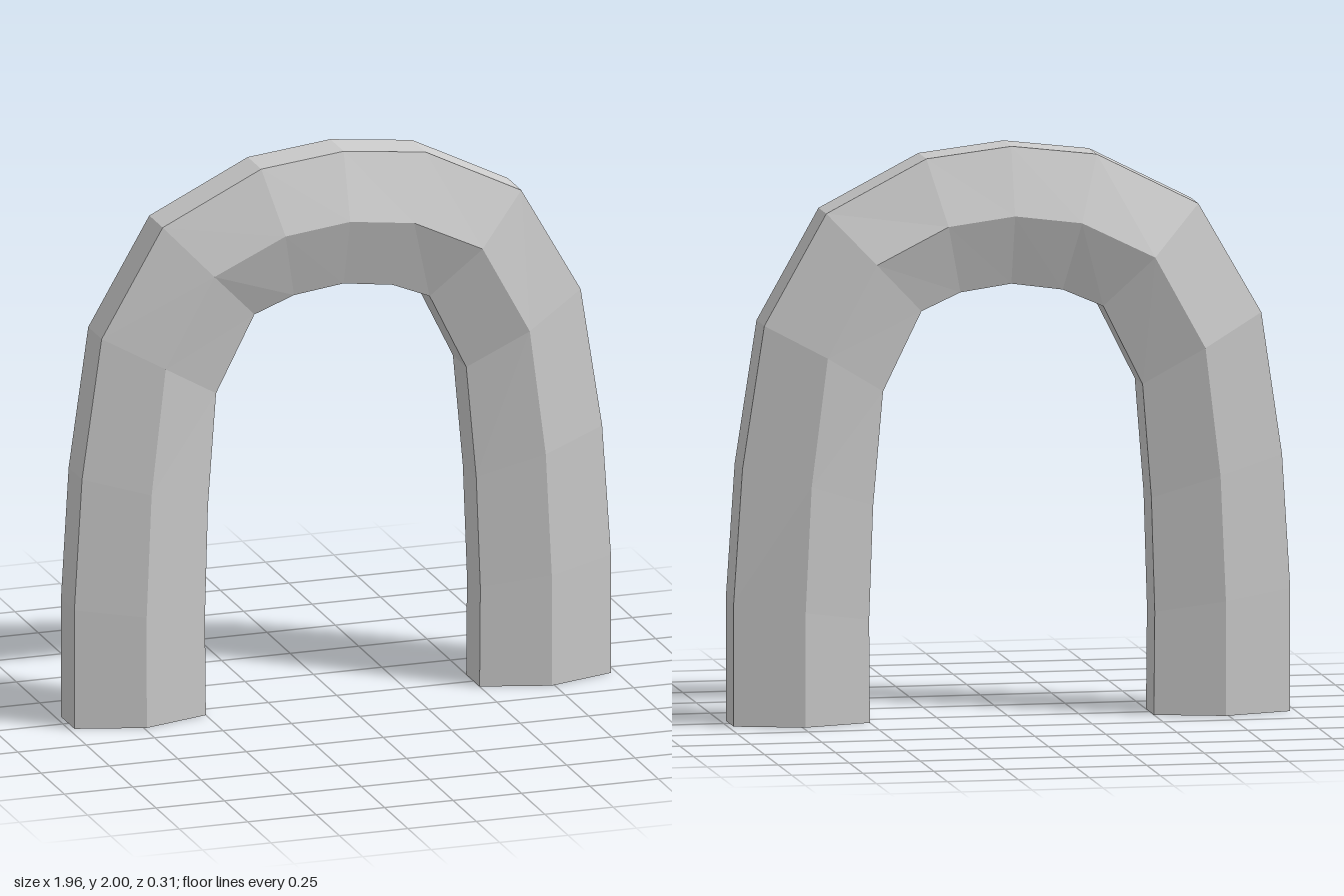
import * as THREE from 'three';

// Half of the arch, base to crown: outer x,y, ridge x,y, inner x,y, z offset
const HALF = [
  [0.98, 0, 0.74, 0, 0.5, 0, -0.007],
  [0.98, 0.43, 0.74, 0.4, 0.503, 0.36, -0.008],
  [0.95, 0.9, 0.72, 0.84, 0.49, 0.76, -0.014],
  [0.875, 1.4, 0.665, 1.29, 0.457, 1.16, -0.024],
  [0.655, 1.785, 0.49, 1.61, 0.32, 1.435, -0.015],
  [0.3, 1.965, 0.235, 1.735, 0.18, 1.495, -0.001],
  [0, 2, 0, 1.765, 0, 1.52, 0.003],
];
const EDGE = 0.072; // half depth at the outer and inner edges
const RIDGE = 0.143; // half depth at the middle ridges

// Six-sided section: front edges going inward, then back edges going outward
function section([ox, oy, rx, ry, ix, iy, z], side) {
  return [
    [side * ox, oy, z + EDGE], [side * rx, ry, z + RIDGE], [side * ix, iy, z + EDGE],
    [side * ix, iy, z - EDGE], [side * rx, ry, z - RIDGE], [side * ox, oy, z - EDGE],
  ];
}

function archGeometry() {
  // Mirror the half, sharing the crown section
  const rings = [
    ...HALF.map((s) => section(s, 1)),
    ...HALF.slice(0, -1).reverse().map((s) => section(s, -1)),
  ];
  const n = 6;
  const last = (rings.length - 1) * n;
  const index = [];
  for (let i = 0; i < rings.length - 1; i++) {
    for (let j = 0; j < n; j++) {
      const a = i * n + j;
      const b = i * n + (j + 1) % n;
      index.push(a, a + n, b, b, a + n, b + n);
    }
  }
  // Flat feet
  for (let k = 1; k < n - 1; k++) {
    index.push(0, k, k + 1, last, last + k + 1, last + k);
  }
  const geometry = new THREE.BufferGeometry();
  geometry.setAttribute('position', new THREE.Float32BufferAttribute(rings.flat(2), 3));
  geometry.setIndex(index);
  const faceted = geometry.toNonIndexed();
  faceted.computeVertexNormals();
  return faceted;
}

export function createModel() {
  const group = new THREE.Group();
  group.name = 'archway';
  const arch = new THREE.Mesh(
    archGeometry(),
    new THREE.MeshStandardMaterial({ color: 0xcccccc, flatShading: true }),
  );
  arch.name = 'arch';
  group.add(arch);
  return group;
}
